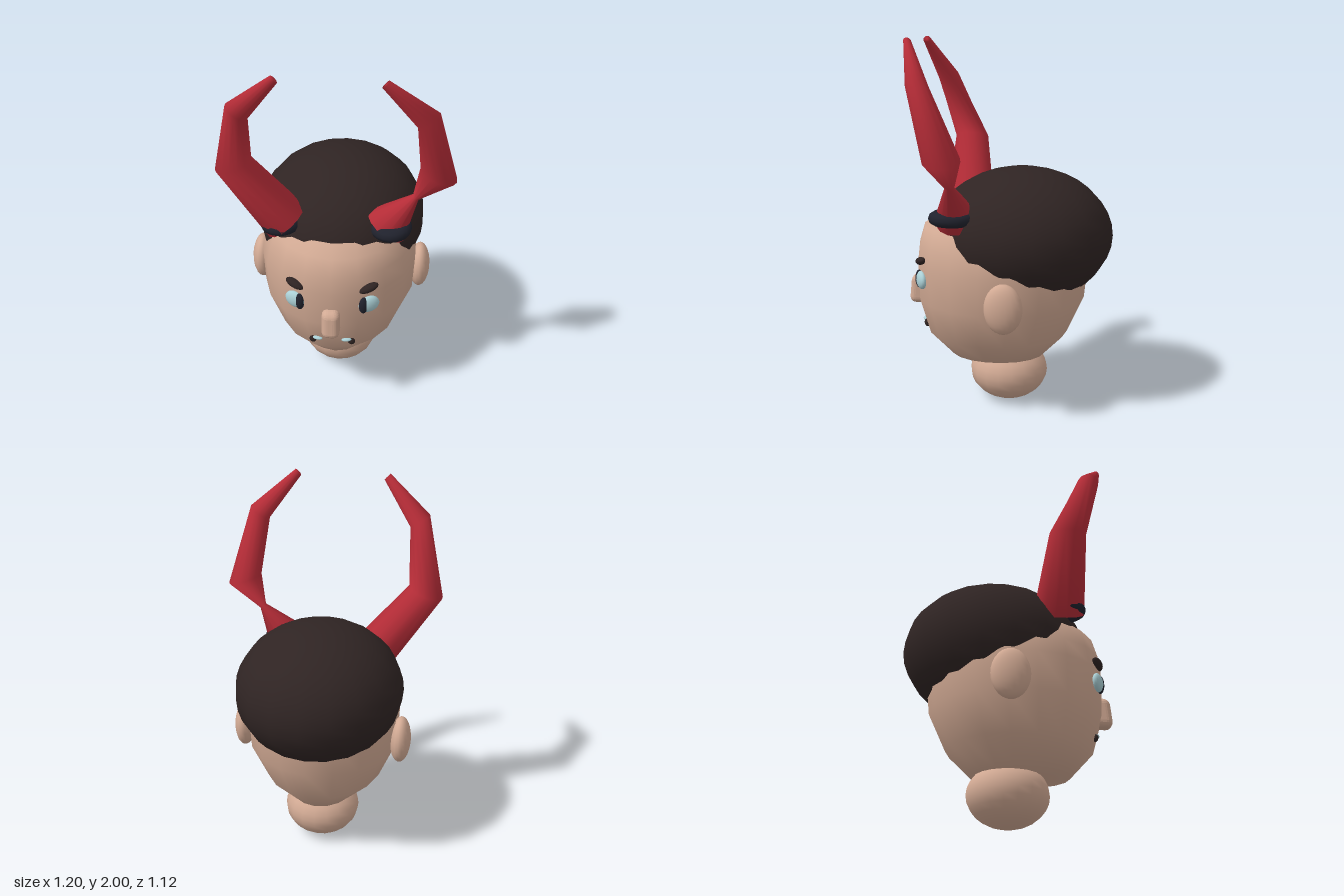
import * as THREE from 'three';
import { RoundedBoxGeometry } from 'three/addons/geometries/RoundedBoxGeometry.js';

const material = (name, color) => {
  const m = new THREE.MeshStandardMaterial({ color });
  m.name = name;
  return m;
};

// Skin over closed cross-sections listed from bottom to top, with both ends capped
function loft(rings) {
  const n = rings[0].length;
  const centre = (ring) => ring.reduce((s, p) => s.add(p), new THREE.Vector3()).divideScalar(n);
  const first = rings[0], last = rings[rings.length - 1];
  const points = [...rings.flat(), centre(first), centre(last)];
  const index = [];
  const top = (rings.length - 1) * n, bottomCentre = points.length - 2, topCentre = points.length - 1;
  for (let j = 0; j < n; j++) {
    const k = (j + 1) % n;
    for (let i = 0; i < rings.length - 1; i++) {
      const a = i * n + j, b = i * n + k;
      index.push(a, b, a + n, b, b + n, a + n);
    }
    index.push(bottomCentre, k, j, topCentre, top + j, top + k);
  }
  const g = new THREE.BufferGeometry().setFromPoints(points);
  g.setIndex(index);
  g.computeVertexNormals();
  return g;
}

// Elliptical cross-section: ru along a tilted x axis, rz along z
function ring(x, y, z, ru, rz, tilt = 0, sides = 18) {
  return Array.from({ length: sides }, (_, j) => {
    const t = (j / sides) * Math.PI * 2, u = Math.sin(t) * ru;
    return new THREE.Vector3(x + u * Math.cos(tilt), y + u * Math.sin(tilt), z + rz * Math.cos(t));
  });
}

export function createModel() {
  const model = new THREE.Group();
  model.name = 'hornedHead';
  const skin = material('skin', 0xd2aa94);
  const hairColor = material('hair', 0x2f2423);
  const red = material('horn red', 0xb82d38);
  const navy = material('dark navy', 0x20222d);
  const eyeColor = material('pale blue', 0xabd0d6);

  const add = (name, geometry, mat, pos = [0, 0, 0], rot = [0, 0, 0]) => {
    const mesh = new THREE.Mesh(geometry, mat);
    mesh.name = name;
    mesh.position.set(...pos);
    mesh.rotation.set(...rot);
    model.add(mesh);
    return mesh;
  };
  const ball = (rx, ry, rz, w = 18, h = 14) =>
    new THREE.SphereGeometry(1, w, h).rotateY(Math.PI / 2).scale(rx, ry, rz);

  // Head: height, half width, front z, back z
  const headRows = [
    [0.265, 0.19, 0.325, -0.19], [0.4, 0.33, 0.45, -0.32], [0.6, 0.415, 0.505, -0.41],
    [0.8, 0.425, 0.512, -0.43], [0.9, 0.405, 0.5, -0.43], [1.0, 0.37, 0.47, -0.36],
    [1.08, 0.3, 0.36, -0.3], [1.2, 0.15, 0.18, -0.2],
  ];
  add('head', loft(headRows.map(([y, a, f, b]) => ring(0, y, (f + b) / 2, a, (f - b) / 2))), skin);
  add('neck', ball(0.21, 0.168, 0.215), skin, [0, 0.17, 0.005]);
  add('hair', ball(0.455, 0.37, 0.49, 18, 18), hairColor, [0, 0.95, -0.07]);

  // Nose, sloping back towards the brow
  const nose = new RoundedBoxGeometry(0.095, 0.165, 0.13, 3, 0.035);
  const p = nose.attributes.position;
  for (let i = 0; i < p.count; i++) {
    if (p.getZ(i) > 0) p.setZ(i, p.getZ(i) - 0.2 * Math.max(0, p.getY(i)));
  }
  nose.computeVertexNormals();
  add('nose', nose, skin, [0, 0.625, 0.495]);

  for (const s of [1, -1]) {
    const side = s > 0 ? 'left' : 'right';
    add(side + 'Ear', ball(0.057, 0.133, 0.1), skin, [s * 0.444, 0.657, -0.012]);

    // Face details
    add(side + 'Eye', ball(0.058, 0.049, 0.026), eyeColor, [s * 0.193, 0.725, 0.457], [0, s * 0.45, 0]);
    add(side + 'Pupil', ball(0.025, 0.05, 0.022), navy, [s * 0.166, 0.725, 0.474], [0, s * 0.35, 0]);
    add(side + 'Eyebrow', ball(0.054, 0.021, 0.026), hairColor, [s * 0.191, 0.83, 0.46], [0, s * 0.42, s * 0.28]);
    add(side + 'MouthCorner', ball(0.02, 0.023, 0.016, 10, 8), hairColor, [s * 0.103, 0.456, 0.448], [0, s * 0.25, s * 0.5]);
    add(side + 'Tooth', ball(0.028, 0.009, 0.014, 10, 8), eyeColor, [s * 0.078, 0.472, 0.46], [0, s * 0.2, 0]);

    // Horn: height-ordered sections of x, y, z, radius across, radius in z, tilt
    const sections = [
      [0.26, 1.085, 0.255, 0.12, s > 0 ? 0.11 : 0.135, 0.65],
      [0.512, 1.42, 0.28, 0.097, 0.095, 0.31],
      [0.448, 1.775, 0.405, 0.062, 0.058, -0.6],
      [0.25, 1.985, 0.49, 0.023, 0.02, -0.8],
    ];
    // The left horn is pinched just above its base
    if (s > 0) sections.splice(1, 0, [0.405, 1.27, 0.26, 0.018, 0.025, 0.6]);
    add(side + 'Horn', loft(sections.map(([x, y, z, u, w, t]) => ring(s * x, y, z, u, w, -s * t, 14))), red);

    // Band around the horn base
    const band = new THREE.TorusGeometry(0.073, 0.037, 10, 20).rotateX(Math.PI / 2).scale(1, 1, 1.15);
    add(side + 'HornBand', band, navy, [s * 0.285, 1.09, 0.268]);
  }
  return model;
}
